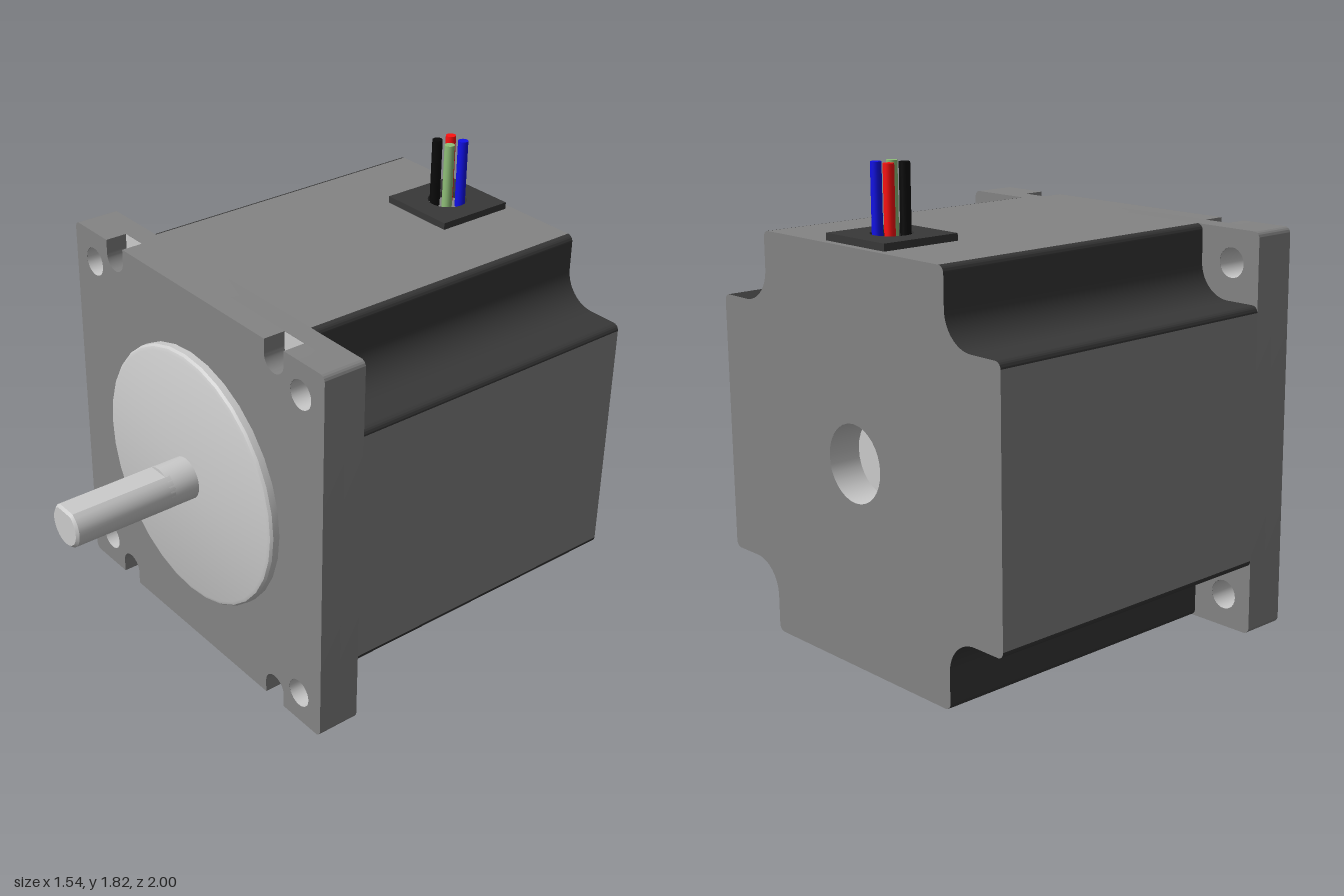
import * as THREE from 'three';
import { toCreasedNormals } from 'three/addons/utils/BufferGeometryUtils.js';

const H = 0.77; // half the width of the square section
const LIGHT = 0xcccccc, GREY = 0x848484, DARK = 0x383838;

function createMesh(parent, name, geometry, color, side = THREE.FrontSide) {
  const m = new THREE.Mesh(geometry, new THREE.MeshStandardMaterial({ color, side }));
  m.name = name;
  parent.add(m);
  return m;
}

// Extrusion from z0 to z1 with soft curves and sharp edges
function extrude(shape, z0, z1, bevel = 0) {
  const g = new THREE.ExtrudeGeometry(shape, {
    depth: z1 - z0 - 2 * bevel, curveSegments: 12, bevelEnabled: bevel > 0,
    bevelSize: bevel, bevelThickness: bevel, bevelOffset: -bevel, bevelSegments: 1,
  });
  g.translate(0, 0, z0 + bevel);
  return toCreasedNormals(g, 0.6);
}

// Wall along an outline that runs clockwise, from z0 to z1
function wall(points, z0, z1) {
  const pos = [], idx = [];
  points.forEach((p, i) => {
    pos.push(p.x, p.y, z0, p.x, p.y, z1);
    if (i) {
      const a = 2 * i - 2;
      idx.push(a, a + 1, a + 2, a + 1, a + 3, a + 2);
    }
  });
  const g = new THREE.BufferGeometry();
  g.setAttribute('position', new THREE.Float32BufferAttribute(pos, 3));
  g.setIndex(idx);
  return toCreasedNormals(g.toNonIndexed(), 0.6);
}

const circle = (x, y, r) => new THREE.Path().absarc(x, y, r, 0, Math.PI * 2, true);

// Bore lining, seen from inside
function bore(parent, name, x, y, r, z0, z1) {
  const g = new THREE.CylinderGeometry(r, r, z1 - z0, 28, 1, true).rotateX(Math.PI / 2);
  createMesh(parent, name, g, LIGHT, THREE.BackSide).position.set(x, y, (z0 + z1) / 2);
}

// Rounded square plate; slots are U-shaped bites in the top and bottom edges
function flangeShape(slots) {
  const r = 0.025, s = new THREE.Shape();
  const edge = (sign) => {
    if (!slots) return;
    for (const c of [0.495 * sign, -0.495 * sign]) {
      s.lineTo(c + 0.055 * sign, H * sign);
      s.lineTo(c + 0.055 * sign, 0.715 * sign);
      s.absarc(c, 0.715 * sign, 0.055, sign > 0 ? 0 : Math.PI, sign > 0 ? -Math.PI : 0, true);
      s.lineTo(c - 0.055 * sign, H * sign);
    }
  };
  s.moveTo(H, -H + r);
  s.absarc(H - r, H - r, r, 0, Math.PI / 2);
  edge(1);
  s.absarc(-H + r, H - r, r, Math.PI / 2, Math.PI);
  s.absarc(-H + r, -H + r, r, Math.PI, Math.PI * 1.5);
  edge(-1);
  s.absarc(H - r, -H + r, r, Math.PI * 1.5, Math.PI * 2);
  for (const x of [-0.643, 0.643]) for (const y of [-0.643, 0.643]) s.holes.push(circle(x, y, 0.057));
  return s;
}

function addBody(motor) {
  const body = new THREE.Group();
  body.name = 'body';
  motor.add(body);

  // One corner notch, clockwise: rounded lip, hollow fillet, rounded lip
  const notch = new THREE.Path();
  notch.moveTo(0.475, H);
  notch.absarc(0.475, H - 0.025, 0.025, Math.PI / 2, 0, true);
  notch.absarc(0.63, 0.63, 0.13, Math.PI, Math.PI * 1.5, false);
  notch.absarc(H - 0.025, 0.475, 0.025, Math.PI / 2, 0, true);
  const quarter = notch.getPoints(8);
  const origin = new THREE.Vector2();
  const outline = [];
  for (let k = 0; k < 4; k++) {
    const pts = quarter.map((p) => p.clone().rotateAround(origin, -k * Math.PI / 2));
    createMesh(body, 'cornerNotch', wall(pts, -1, 0.25), DARK);
    const next = quarter[0].clone().rotateAround(origin, -(k + 1) * Math.PI / 2);
    createMesh(body, 'bodySide', wall([pts[pts.length - 1], next], -1, 0.25), GREY);
    outline.push(...pts);
  }

  // Rear face with its blind bore
  const rear = new THREE.Shape(outline);
  rear.holes.push(circle(0, 0, 0.145));
  createMesh(body, 'rearFace', new THREE.ShapeGeometry(rear, 16).rotateY(Math.PI), GREY).position.z = -1;
  bore(body, 'rearBore', 0, 0, 0.145, -1, -0.87);
  createMesh(body, 'rearBoreFloor', new THREE.CircleGeometry(0.147, 28).rotateY(Math.PI), LIGHT).position.z = -0.87;
}

function addFlange(motor) {
  createMesh(motor, 'flangeBack', extrude(flangeShape(false), 0.25, 0.335), GREY);
  createMesh(motor, 'flangeFront', extrude(flangeShape(true), 0.335, 0.425), GREY);
  for (const x of [-1, 1]) for (const y of [-1, 1]) {
    bore(motor, 'mountingHole', x * 0.643, y * 0.643, 0.056, 0.25, 0.425);
    const floor = new THREE.Shape();
    floor.moveTo(0.055, 0.055);
    floor.lineTo(-0.055, 0.055);
    floor.absarc(0, 0, 0.055, Math.PI, Math.PI * 2);
    const m = createMesh(motor, 'slotFloor', new THREE.ShapeGeometry(floor), LIGHT);
    m.position.set(x * 0.495, y * 0.715, 0.337);
    if (y < 0) m.rotation.z = Math.PI;
  }
}

function addShaft(motor) {
  // Raised pilot disc with a softened rim
  const profile = [[0.525, 0.42], [0.525, 0.452], [0.518, 0.462], [0.505, 0.467], [0, 0.467]];
  const disc = new THREE.LatheGeometry(profile.map(([r, z]) => new THREE.Vector2(r, z)), 32);
  createMesh(motor, 'pilotDisc', toCreasedNormals(disc.rotateX(Math.PI / 2), 0.5), LIGHT);

  // Round shaft root, then a length with a flat on top
  const r = 0.085, a = Math.asin(0.072 / r);
  const root = new THREE.Shape().absarc(0, 0, r, 0, Math.PI * 2);
  createMesh(motor, 'shaftRoot', extrude(root, 0.45, 0.59), LIGHT);
  const flat = new THREE.Shape().absarc(0, 0, r, Math.PI - a, Math.PI * 2 + a);
  createMesh(motor, 'shaft', extrude(flat, 0.56, 1, 0.01), LIGHT);
}

function addLeads(motor) {
  const leads = new THREE.Group();
  leads.name = 'leads';
  leads.position.set(0, H, -0.81);
  motor.add(leads);

  // Square cable plate with a round opening
  const plate = new THREE.Shape([[-1, -1], [1, -1], [1, 1], [-1, 1]].map(([x, y]) => new THREE.Vector2(x * 0.162, y * 0.162)));
  plate.holes.push(circle(0, 0, 0.077));
  createMesh(leads, 'cablePlate', extrude(plate, 0, 0.027).rotateX(-Math.PI / 2), DARK);
  createMesh(leads, 'plateOpening', new THREE.CircleGeometry(0.078, 28).rotateX(-Math.PI / 2), GREY).position.y = 0.003;

  const wires = [['redWire', -1, -1, 0xff1010], ['blueWire', 1, -1, 0x1010e8],
    ['blackWire', -1, 1, 0x0a0a0a], ['greenWire', 1, 1, 0x8fbf78]];
  for (const [name, x, z, color] of wires) {
    const g = new THREE.CylinderGeometry(0.02, 0.02, 0.275, 16);
    createMesh(leads, name, g, color).position.set(x * 0.035, 0.1375, z * 0.035);
  }
}

export function createModel() {
  const motor = new THREE.Group();
  motor.name = 'steppingMotor';
  motor.position.y = H;
  addBody(motor);
  addFlange(motor);
  addShaft(motor);
  addLeads(motor);
  const model = new THREE.Group();
  model.add(motor);
  return model;
}
